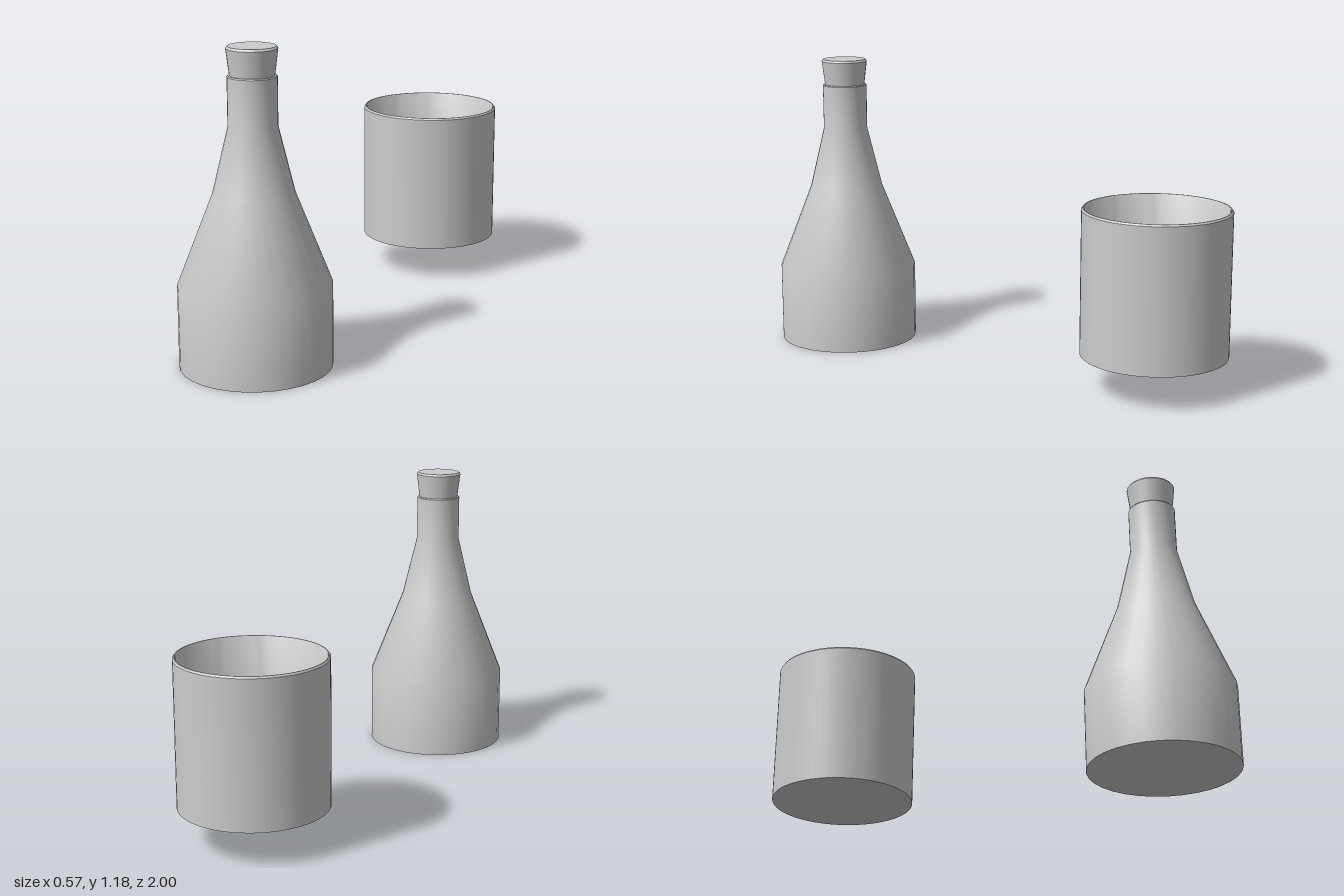
import * as THREE from 'three';
import { toCreasedNormals } from 'three/addons/utils/BufferGeometryUtils.js';

const material = new THREE.MeshStandardMaterial({ color: 0xcccccc });

// Turned part from [radius, height] pairs, smooth except at sharp edges
function turned(name, profile, segments, z) {
  const points = profile.map(([r, y]) => new THREE.Vector2(r, y));
  const geometry = toCreasedNormals(new THREE.LatheGeometry(points, segments), 0.6);
  const mesh = new THREE.Mesh(geometry, material);
  mesh.name = name;
  mesh.position.z = z;
  return mesh;
}

export function createModel() {
  const model = new THREE.Group();
  model.name = 'bottleAndCup';

  // Bottle: straight base, tapering shoulder, narrow neck with a flat lip
  const bottle = new THREE.Group();
  bottle.name = 'bottle';
  bottle.add(turned('bottleBody', [
    [0, 0], [0.283, 0], [0.283, 0.31], [0.149, 0.65], [0.09, 0.893],
    [0.09, 1.072], [0.087, 1.076], [0.079, 1.076], [0.079, 1.03],
  ], 32, 0.717));

  // Stopper: flared plug with a bevelled top edge
  bottle.add(turned('stopper', [
    [0, 1.03], [0.076, 1.03], [0.081, 1.076], [0.093, 1.172], [0.087, 1.18], [0, 1.18],
  ], 32, 0.717));
  model.add(bottle);

  // Cup: open, thin-walled cylinder with a bevelled rim, raised above the ground
  model.add(turned('cup', [
    [0, 0.14], [0.284, 0.14], [0.284, 0.701], [0.279, 0.708], [0.275, 0.708],
    [0.272, 0.703], [0.272, 0.152], [0, 0.152],
  ], 64, -0.716));

  return model;
}
